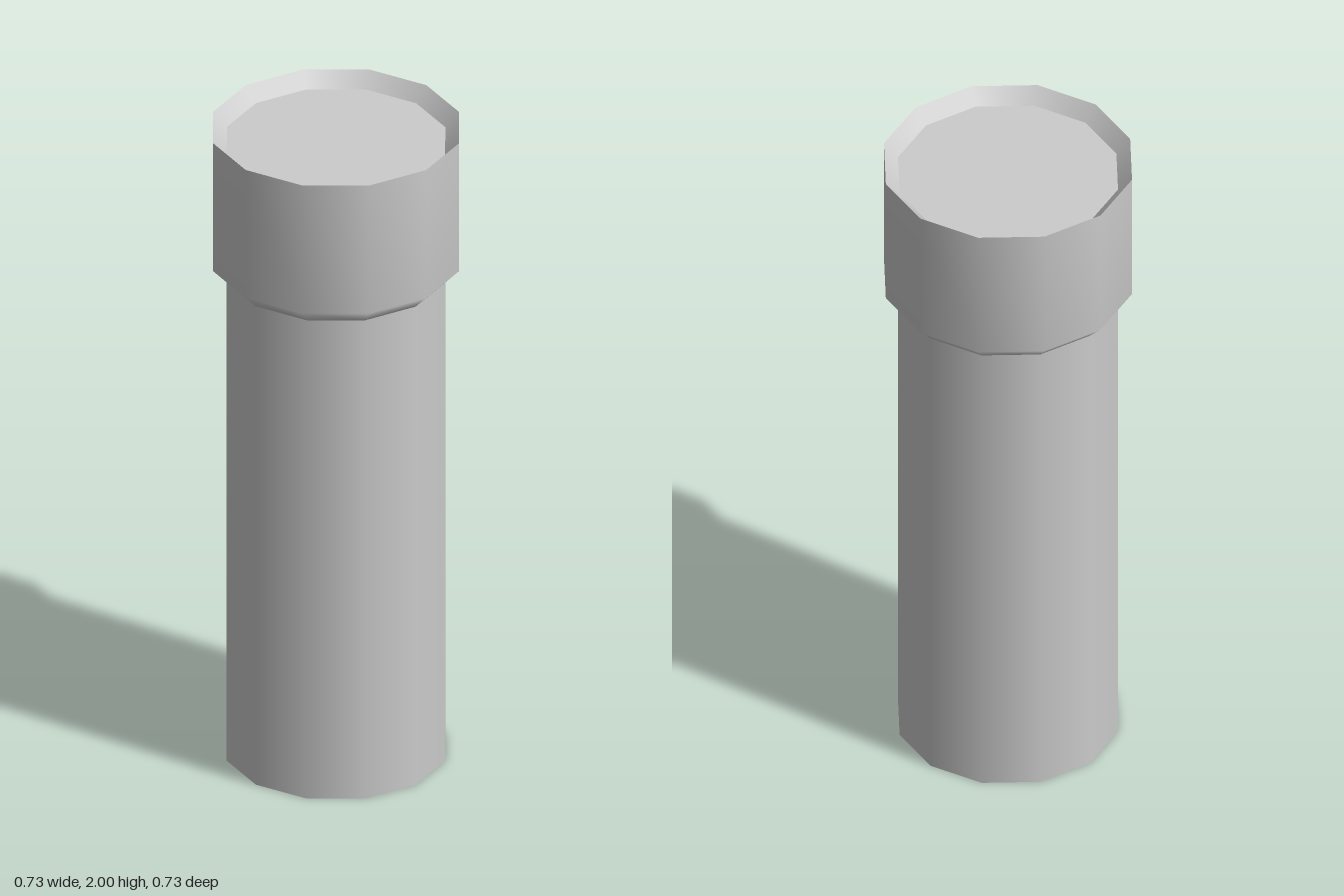
import * as THREE from 'three';

const SIDES = 12;
const BODY_R = 0.322, COLLAR_R = 0.363;
const COLLAR_BOTTOM = 1.544, BEVEL = 0.043, TOP = 2;

export function createModel() {
  const group = new THREE.Group();
  const material = new THREE.MeshStandardMaterial({ color: 0xcccccc });

  const add = (name, geometry) => {
    const mesh = new THREE.Mesh(geometry, material);
    mesh.name = name;
    group.add(mesh);
  };
  // Twelve-sided surface of revolution from [radius, height] pairs
  const lathe = (points) =>
    new THREE.LatheGeometry(points.map(([r, y]) => new THREE.Vector2(r, y)), SIDES);

  // Straight shaft, closed at the base and at the recessed top face
  const height = TOP - BEVEL;
  const shaft = new THREE.CylinderGeometry(BODY_R, BODY_R, height, SIDES);
  shaft.translate(0, height / 2, 0);
  add('shaft', shaft);

  // Wider collar with a bevelled lower edge
  add('collar', lathe([
    [BODY_R, COLLAR_BOTTOM],
    [COLLAR_R, COLLAR_BOTTOM + BEVEL],
    [COLLAR_R, TOP],
  ]));

  // Rim sloping inward and down to the top face
  add('innerRim', lathe([
    [COLLAR_R, TOP],
    [BODY_R, TOP - BEVEL],
  ]));

  return group;
}
